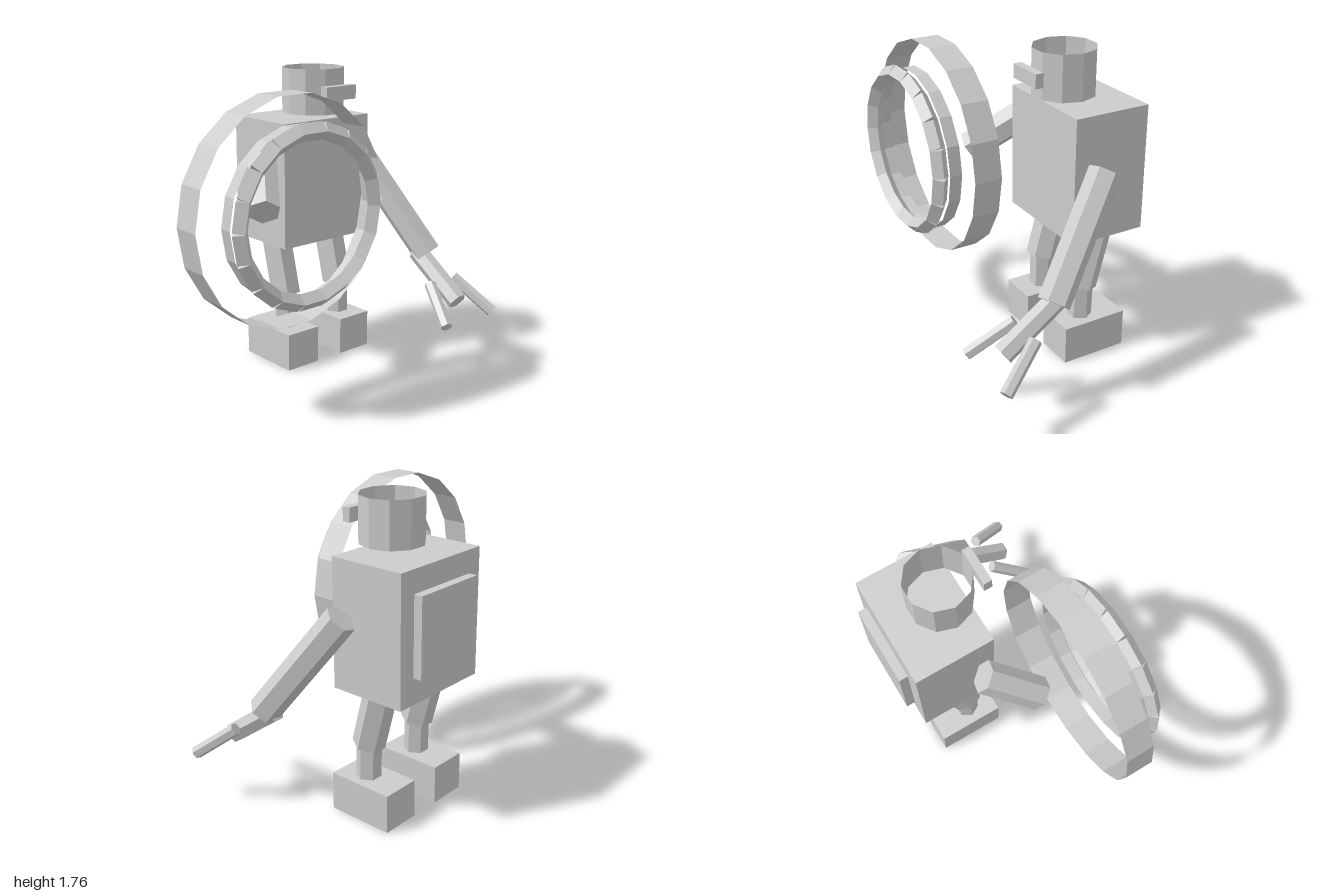
import * as THREE from 'three';

export function createModel() {
  const model = new THREE.Group();
  model.name = 'robot';
  const gray = new THREE.MeshStandardMaterial({ color: 0xcccccc, flatShading: true, side: THREE.DoubleSide });
  gray.name = 'plain gray';

  const add = (name, geometry, x, y, z, parent = model) => {
    const mesh = new THREE.Mesh(geometry, gray);
    mesh.name = name;
    mesh.position.set(x, y, z);
    parent.add(mesh);
    return mesh;
  };
  const box = (name, w, h, d, x, y, z) => add(name, new THREE.BoxGeometry(w, h, d), x, y, z);

  // Six-sided rod between a low and a high point
  const up = new THREE.Vector3(0, 1, 0);
  const rod = (name, radius, low, high) => {
    const a = new THREE.Vector3(...low);
    const b = new THREE.Vector3(...high);
    const dir = b.clone().sub(a);
    const geometry = new THREE.CylinderGeometry(radius, radius, dir.length(), 6, 1, false, Math.PI / 2);
    const mid = a.add(b).multiplyScalar(0.5);
    const mesh = add(name, geometry, mid.x, mid.y, mid.z);
    mesh.quaternion.setFromUnitVectors(up, dir.normalize());
  };
  // Open band with a corner on the x axis
  const band = (radius, height, sides) =>
    new THREE.CylinderGeometry(radius, radius, height, sides, 1, true, Math.PI / 2);

  // Body and head
  const cx = 0.215;
  box('torso', 0.64, 0.725, 0.455, cx, 1.108, -0.321);
  box('backPanel', 0.45, 0.445, 0.05, cx, 1.122, -0.579);
  add('head', band(0.18, 0.26, 10), cx, 1.63, -0.222);
  box('visor', 0.22, 0.08, 0.048, cx, 1.63, 0);

  // Legs
  for (const [side, s] of [['left', 1], ['right', -1]]) {
    const x = cx + s * 0.205;
    rod(side + 'Thigh', 0.092, [x, 0.415, -0.232], [x, 0.79, -0.33]);
    rod(side + 'Shin', 0.07, [x, 0.2, -0.23], [x, 0.43, -0.235]);
    box(side + 'Foot', 0.23, 0.222, 0.395, cx + s * 0.205, 0.111, -0.264);
  }

  // Left arm with palm and two fingers
  rod('leftArm', 0.088, [0.79, 0.612, 0.19], [0.613, 1.187, -0.225]);
  rod('leftPalm', 0.06, [0.76, 0.382, 0.473], [0.76, 0.62, 0.135]);
  for (const s of [-1, 1]) {
    rod('finger', 0.036, [0.76 + s * 0.205, 0.298, 0.573], [0.76 + s * 0.103, 0.482, 0.343]);
  }

  // Short right arm
  rod('rightArm', 0.093, [-0.362, 1.038, 0.045], [-0.182, 1.248, -0.205]);

  // Round shield held in front of the right arm
  const shield = new THREE.Group();
  shield.name = 'shield';
  shield.position.set(-0.38, 1.092, 0);
  model.add(shield);
  add('outerBand', band(0.62, 0.162, 18), 0, 0, 0.256, shield).rotation.x = Math.PI / 2;
  add('innerBand', band(0.47, 0.072, 18), 0, 0, 0.372, shield).rotation.x = Math.PI / 2;

  // Rim made of diamond-section bars
  const bar = new THREE.CylinderGeometry(0.047, 0.047, 0.155, 4);
  for (let i = 0; i < 18; i++) {
    const a = ((i + 0.5) * Math.PI) / 9;
    add('rimBar', bar, 0.439 * Math.cos(a), 0.439 * Math.sin(a), 0.454, shield).rotation.z = a;
  }
  return model;
}
